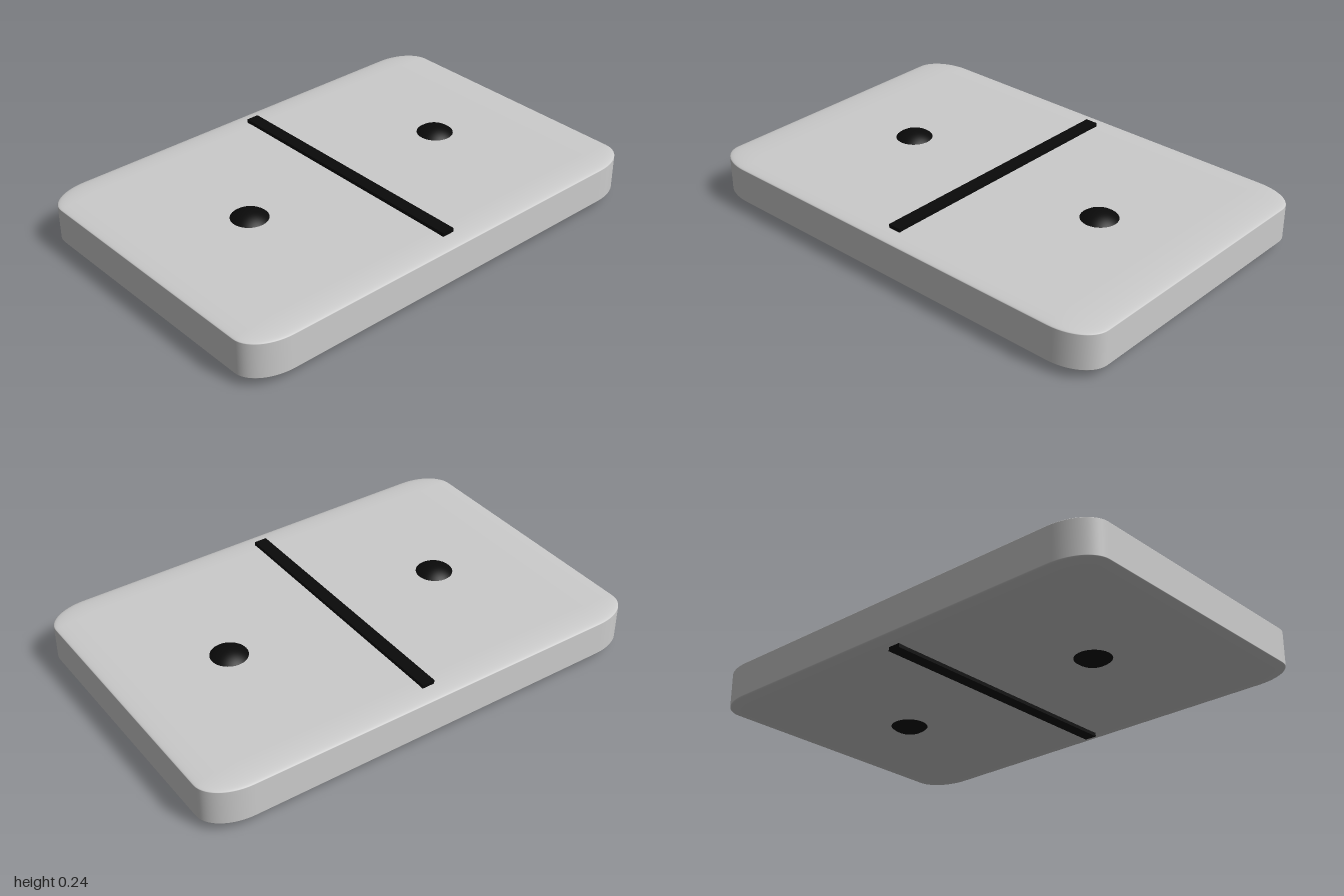
import * as THREE from 'three';
import { RoundedBoxGeometry } from 'three/addons/geometries/RoundedBoxGeometry.js';

const MID_Y = 0.118;

export function createModel() {
  const model = new THREE.Group();
  const grey = new THREE.MeshStandardMaterial({ color: 0xcccccc });
  const black = new THREE.MeshStandardMaterial({ color: 0x0a0a0a });

  const add = (name, geometry, material, x = 0) => {
    const mesh = new THREE.Mesh(geometry, material);
    mesh.name = name;
    mesh.position.set(x, MID_Y, 0);
    model.add(mesh);
  };

  // Tile: a rounded cube flattened, so its corners become elliptical
  const tile = new RoundedBoxGeometry(2, 2, 2, 8, 0.18);
  tile.scale(1, 0.089, 0.667);
  add('tile', tile, grey);

  // Dividing bar, passing through to both faces
  add('divider', new THREE.BoxGeometry(0.055, 0.209, 1.192), black);

  // Pips: balls set in the tile, their caps showing on both faces
  const ball = new THREE.SphereGeometry(0.118, 48, 32);
  add('rightPip', ball, black, -0.49);
  add('leftPip', ball, black, 0.52);

  return model;
}
